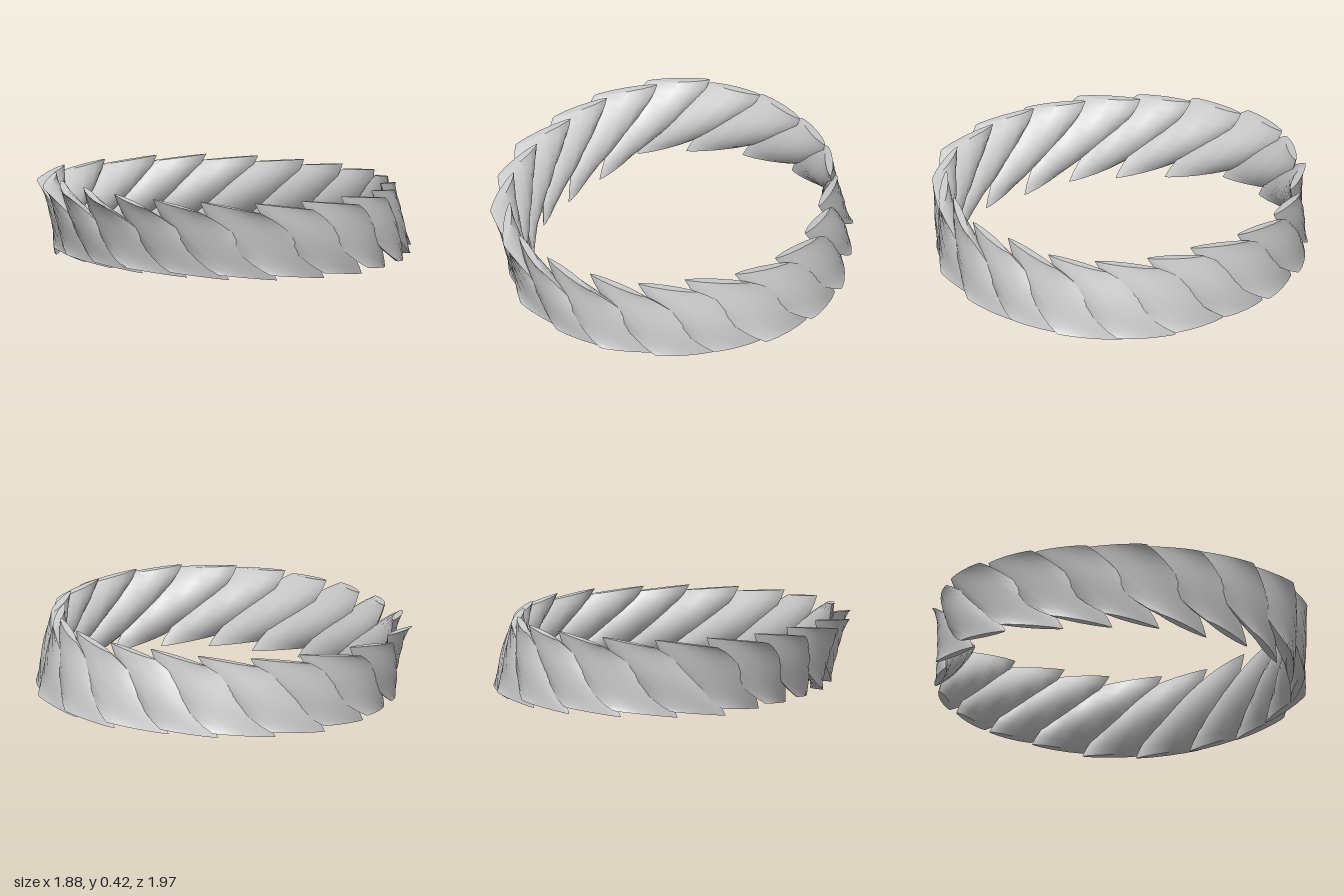
import * as THREE from 'three';
import { toCreasedNormals } from 'three/addons/utils/BufferGeometryUtils.js';

const STRANDS = 20, ROWS = 10, SIDES = 12;

// Centre line of the band as x, z pairs: front to right to back to left
const PATH = [
  [0.81, 0.2], [0.82, 0], [0.76, -0.27], [0.62, -0.55], [0.4, -0.78], [0.1, -0.9],
  [-0.2, -0.9], [-0.45, -0.81], [-0.64, -0.6], [-0.77, -0.3], [-0.81, 0], [-0.77, 0.3],
  [-0.65, 0.58], [-0.42, 0.8], [-0.15, 0.9], [0.1, 0.89], [0.38, 0.79], [0.6, 0.6], [0.74, 0.4],
];

// One slanted, propeller-twisted blade with a lens-shaped cross-section.
// Local x runs along the ring, y up, z outward; lean pushes the foot outward.
function bladeGeometry(halfWidth, halfThick, slide, twist, lean) {
  const pos = [], index = [];
  for (let j = 0; j <= ROWS; j++) {
    const v = j / ROWS, side = 1 - 2 * v;
    const bulge = Math.sin(Math.PI * v);
    const w = halfWidth * (0.9 + 0.1 * Math.sqrt(Math.abs(bulge)));
    const t = halfThick * (0.35 + 0.65 * bulge);
    const tilt = twist * side;
    for (let i = 0; i < SIDES; i++) {
      const a = (i / SIDES) * Math.PI * 2;
      const du = w * Math.cos(a);
      const dr = t * Math.sin(a) * Math.abs(Math.sin(a)) ** 0.4;
      pos.push(
        -side * slide / 2 + du * Math.cos(tilt) - dr * Math.sin(tilt),
        side * 0.19 - 0.12 * du * Math.abs(side) ** 3,
        du * Math.sin(tilt) + dr * Math.cos(tilt) - lean * side
      );
    }
  }
  for (let j = 0; j < ROWS; j++) {
    for (let i = 0; i < SIDES; i++) {
      const k = (i + 1) % SIDES;
      const a = j * SIDES + i, b = j * SIDES + k, c = a + SIDES, d = b + SIDES;
      index.push(a, b, c, b, d, c);
    }
  }
  // end caps
  const last = ROWS * SIDES;
  for (let i = 1; i < SIDES - 1; i++) {
    index.push(0, i + 1, i, last, last + i, last + i + 1);
  }
  const g = new THREE.BufferGeometry();
  g.setAttribute('position', new THREE.Float32BufferAttribute(pos, 3));
  g.setIndex(index);
  return toCreasedNormals(g, 0.8);
}

export function createModel() {
  const group = new THREE.Group();
  group.name = 'twistedRing';
  const material = new THREE.MeshStandardMaterial({ color: 0xcccccc, side: THREE.DoubleSide });
  const curve = new THREE.CatmullRomCurve3(PATH.map(([x, z]) => new THREE.Vector3(x, 0.228, z)), true);

  for (let n = 0; n < STRANDS; n++) {
    const p = curve.getPointAt(n / STRANDS);
    const dir = curve.getTangentAt(n / STRANDS);
    // the foot of the band sits further towards +x than its top
    const outwardX = -dir.z;
    const vary = Math.sin(n * 2.4);
    const blade = new THREE.Mesh(
      bladeGeometry(0.18 + 0.01 * vary, 0.058, 0.36, 0.42 - 0.08 * outwardX + 0.05 * vary, 0.055 * outwardX),
      material
    );
    blade.name = 'strand' + (n + 1);
    blade.position.copy(p);
    blade.rotation.y = Math.atan2(-dir.z, dir.x);
    group.add(blade);
  }
  return group;
}
